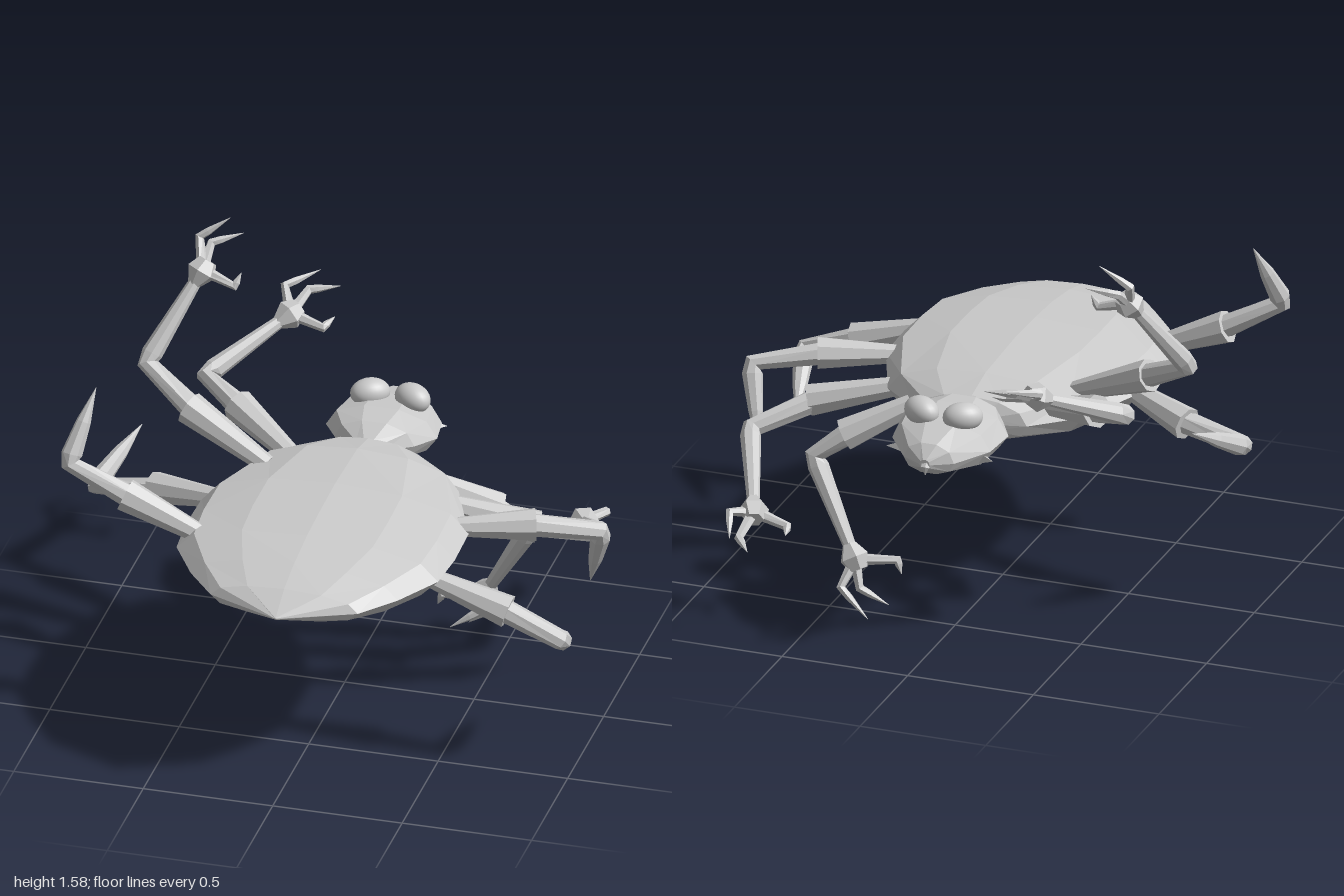
import * as THREE from 'three';

const flat = new THREE.MeshStandardMaterial({ color: 0xcccccc, flatShading: true, side: THREE.DoubleSide });
const smooth = new THREE.MeshStandardMaterial({ color: 0xcccccc });
const V = (p) => new THREE.Vector3(...p);

function add(parent, name, geometry, material = flat) {
  const mesh = new THREE.Mesh(geometry, material);
  mesh.name = name;
  parent.add(mesh);
  return mesh;
}

// Joins equal-sized rings of points into a faceted skin with closed ends
function skin(rings) {
  const n = rings[0].length, pos = [], index = [];
  rings.forEach((ring) => ring.forEach((p) => pos.push(p.x, p.y, p.z)));
  for (let r = 0; r < rings.length - 1; r++) {
    for (let i = 0; i < n; i++) {
      const a = r * n + i, b = r * n + (i + 1) % n, c = a + n, d = b + n;
      if ((r + i) % 2) index.push(a, b, d, a, d, c);
      else index.push(a, b, c, b, d, c);
    }
  }
  const last = (rings.length - 1) * n;
  for (let i = 1; i < n - 1; i++) index.push(0, i + 1, i, last, last + i, last + i + 1);
  const g = new THREE.BufferGeometry();
  g.setAttribute('position', new THREE.Float32BufferAttribute(pos, 3));
  g.setIndex(index);
  g.computeVertexNormals();
  return g;
}

// Mitred tube through a few points, with a radius at each
function limbTube(points, radii, sides = 8) {
  const p = points.map(V);
  const dirs = p.slice(1).map((q, i) => q.clone().sub(p[i]).normalize());
  const side = new THREE.Vector3(0, 1, 0).cross(dirs[0]);
  if (side.length() < 0.1) side.set(1, 0, 0);
  const rings = p.map((c, k) => {
    const before = dirs[Math.max(k - 1, 0)], after = dirs[Math.min(k, dirs.length - 1)];
    const t = before.clone().add(after).normalize();
    side.addScaledVector(t, -side.dot(t)).normalize();
    const up = t.clone().cross(side);
    return Array.from({ length: sides }, (_, i) => {
      const a = (i / sides) * Math.PI * 2;
      return c.clone().addScaledVector(side, Math.cos(a) * radii[k]).addScaledVector(up, Math.sin(a) * radii[k]);
    });
  });
  return skin(rings);
}

// Rounded shell along z from rows of [z, half width, bottom, middle, top]
function shell(rows, cx, sides) {
  return skin(rows.map(([z, w, bottom, mid, top]) => Array.from({ length: sides }, (_, i) => {
    const a = (i / sides) * Math.PI * 2, s = Math.sin(a);
    const h = s > 0 ? top - mid : mid - bottom;
    return new THREE.Vector3(cx + Math.cos(a) * w, mid + Math.sign(s) * Math.abs(s) ** 0.9 * h, z);
  })));
}

// Legs: root, sleeve end, knee, claw tip
const clawLegs = {
  rightThirdLeg: [[-0.44, 0.79, 0.13], [-0.73, 0.73, 0.01], [-0.97, 0.69, -0.02], [-0.86, 0.83, -0.28]],
  rightRearLeg: [[-0.42, 0.81, 0.46], [-0.72, 0.94, 0.46], [-0.93, 1.06, 0.49], [-0.86, 1.32, 0.36]],
  leftThirdLeg: [[0.45, 0.79, 0.11], [0.74, 0.79, 0.01], [0.97, 0.75, -0.08], [0.89, 0.46, -0.21]],
  leftRearLeg: [[0.45, 0.76, 0.455], [0.76, 0.66, 0.46], [0.97, 0.58, 0.48], [0.9, 0.43, 0.2]],
};

// Arms: root, sleeve end, knee, palm; digits: knuckle and tip
const arms = {
  rightFrontArm: {
    path: [[-0.26, 0.82, -0.21], [-0.52, 0.91, -0.38], [-0.67, 0.96, -0.48], [-0.42, 1.11, -0.76]],
    digits: [[[-0.47, 1.17, -0.86], [-0.36, 1.2, -0.96]], [[-0.38, 1.16, -0.87], [-0.27, 1.17, -0.91]],
      [[-0.29, 1.08, -0.74], [-0.26, 1.1, -0.8]]],
  },
  rightSecondArm: {
    path: [[-0.32, 0.84, -0.08], [-0.65, 0.99, -0.17], [-0.84, 1.1, -0.27], [-0.68, 1.41, -0.47]],
    digits: [[[-0.71, 1.51, -0.54], [-0.6, 1.59, -0.57]], [[-0.67, 1.48, -0.56], [-0.56, 1.51, -0.61]],
      [[-0.55, 1.37, -0.45], [-0.53, 1.42, -0.47]]],
  },
  leftFrontArm: {
    path: [[0.22, 0.79, -0.24], [0.5, 0.64, -0.34], [0.61, 0.55, -0.37], [0.41, 0.2, -0.47]],
    digits: [[[0.38, 0.1, -0.5], [0.275, 0.035, -0.47]], [[0.44, 0.11, -0.54], [0.32, 0.01, -0.57]],
      [[0.26, 0.2, -0.42], [0.24, 0.15, -0.43]]],
  },
  leftSecondArm: {
    path: [[0.34, 0.77, -0.1], [0.7, 0.68, -0.17], [0.88, 0.6, -0.33], [0.73, 0.435, -0.69]],
    digits: [[[0.74, 0.38, -0.82], [0.68, 0.36, -0.89]], [[0.8, 0.45, -0.76], [0.77, 0.38, -0.84]],
      [[0.6, 0.39, -0.68], [0.585, 0.38, -0.74]]],
  },
};

const mix = (a, b, t) => V(a).lerp(V(b), t).toArray();

export function createModel() {
  const model = new THREE.Group();
  model.name = 'crawlingBug';

  // Flat oval body, pointed at the rear
  add(model, 'body', shell([
    [-0.36, 0.1, 0.73, 0.78, 0.83], [-0.33, 0.22, 0.7, 0.78, 0.87], [-0.18, 0.39, 0.665, 0.78, 0.905],
    [0.13, 0.515, 0.645, 0.78, 0.92], [0.34, 0.52, 0.645, 0.78, 0.915], [0.52, 0.505, 0.655, 0.78, 0.905],
    [0.7, 0.4, 0.68, 0.78, 0.88], [0.84, 0.285, 0.72, 0.78, 0.845], [0.96, 0.003, 0.777, 0.78, 0.783],
  ], 0, 12));

  // Egg-shaped head
  const head = new THREE.Group();
  head.name = 'head';
  model.add(head);
  add(head, 'skull', shell([
    [-0.815, 0.02, 0.77, 0.79, 0.81], [-0.77, 0.1, 0.735, 0.79, 0.86], [-0.64, 0.195, 0.71, 0.8, 0.9],
    [-0.5, 0.215, 0.72, 0.81, 0.915], [-0.4, 0.155, 0.74, 0.82, 0.905], [-0.32, 0.06, 0.78, 0.83, 0.87],
  ], 0.003, 10));

  for (const s of [-1, 1]) {
    // Bulging oval eyes, slanted inward to the front
    const eye = add(head, s < 0 ? 'rightEye' : 'leftEye', new THREE.SphereGeometry(1, 24, 16), smooth);
    eye.scale.set(0.076, 0.055, 0.056);
    eye.position.set(0.012 + s * 0.082, 0.91, -0.605);
    eye.rotation.y = -s * 0.5;
    // Small cheek spikes
    const spike = add(head, s < 0 ? 'rightCheekSpike' : 'leftCheekSpike', new THREE.ConeGeometry(0.025, 0.06, 3));
    spike.position.set(s * 0.185, 0.775, -0.655);
    spike.rotation.set(0, s * 0.4, -s * Math.PI / 2);
  }
  // Little beak
  add(head, 'beak', limbTube([[0, 0.79, -0.79], [0, 0.78, -0.82], [0, 0.75, -0.815]], [0.025, 0.015, 0.002], 5));

  // Flared sleeve and the thinner leg coming out of it
  const upperLimb = (group, [root, cuff, knee], kneeRadius, lower, lowerRadii) => {
    add(group, 'sleeve', limbTube([root, cuff], [0.036, 0.064]));
    add(group, 'shank', limbTube([mix(root, cuff, 0.9), mix(cuff, knee, 0.97), ...lower],
      [0.046, kneeRadius, ...lowerRadii]));
  };

  for (const [name, path] of Object.entries(clawLegs)) {
    const leg = new THREE.Group();
    leg.name = name;
    model.add(leg);
    const [, , knee, tip] = path;
    upperLimb(leg, path, 0.038, [mix(knee, tip, 0.12), mix(knee, tip, 0.55), tip], [0.04, 0.028, 0.001]);
  }

  for (const [name, { path, digits }] of Object.entries(arms)) {
    const arm = new THREE.Group();
    arm.name = name;
    model.add(arm);
    const [, , knee, palm] = path;
    upperLimb(arm, path, 0.04, [mix(knee, palm, 0.1), mix(knee, palm, 0.88)], [0.04, 0.024]);
    // Flared palm with two fingers and a thumb
    add(arm, 'palm', limbTube([mix(knee, palm, 0.84), mix(knee, palm, 0.98), mix(knee, palm, 1.1)],
      [0.024, 0.058, 0.036], 6));
    digits.forEach(([knuckle, tip], i) => add(arm, i < 2 ? 'finger' : 'thumb',
      limbTube([palm, knuckle, mix(knuckle, tip, 0.3), tip], [0.024, 0.018, 0.015, 0.001], 6)));
  }
  return model;
}
